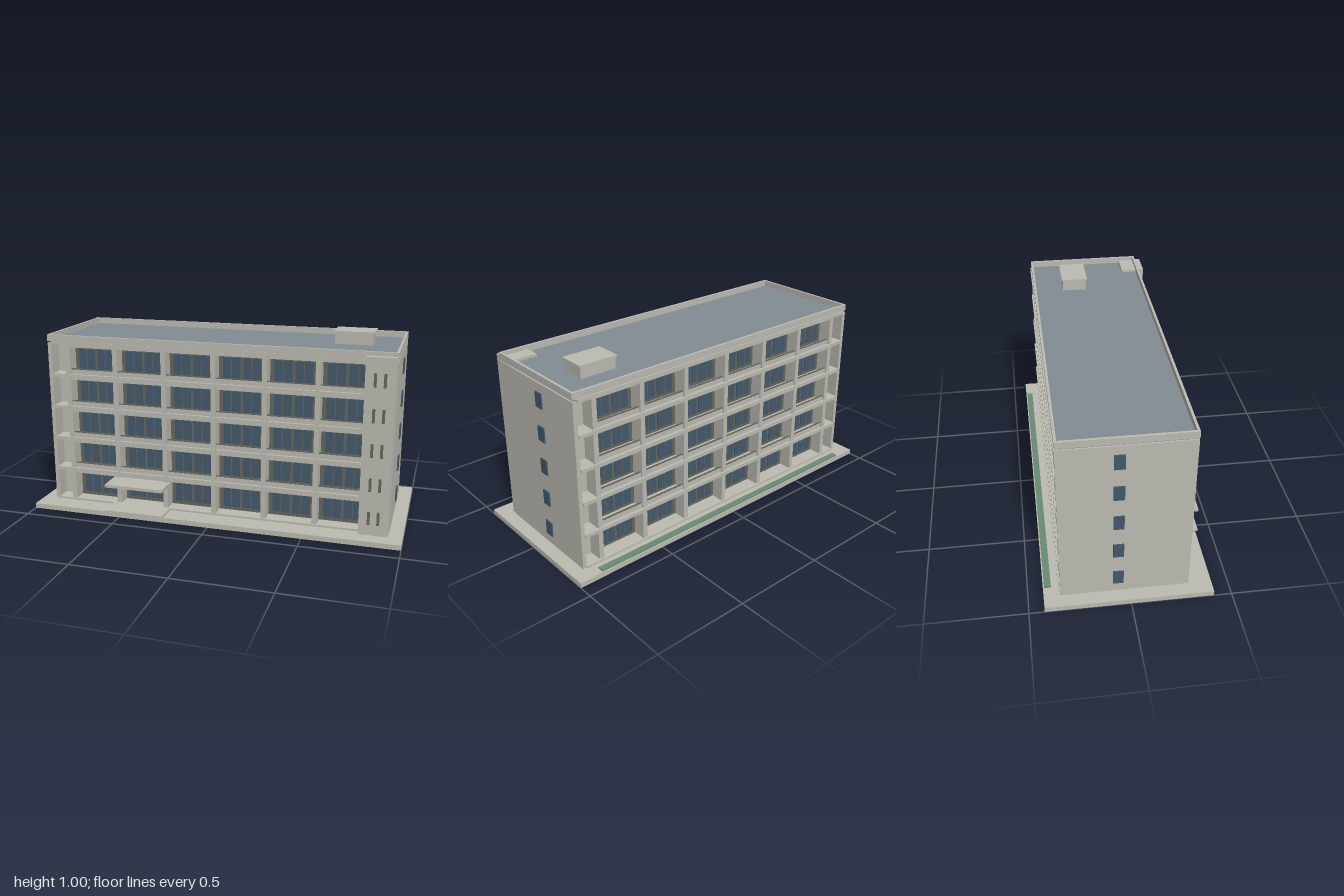
import * as THREE from 'three';

const mat = (name, color) => {
  const m = new THREE.MeshStandardMaterial({ color });
  m.name = name;
  return m;
};

export function createModel() {
  const concrete = mat('concrete', 0xbcbbb1);
  const frame = mat('darkFrame', 0x66665f);
  const glass = mat('glass', 0x43586a);
  const roofing = mat('roofing', 0x828c93);
  const green = mat('hedgeGreen', 0x6a8a76);
  const model = new THREE.Group();
  model.name = 'building';

  // Box given by its extents
  const box = (name, m, x0, x1, y0, y1, z0, z1) => {
    const mesh = new THREE.Mesh(new THREE.BoxGeometry(x1 - x0, y1 - y0, z1 - z0), m);
    mesh.position.set((x0 + x1) / 2, (y0 + y1) / 2, (z0 + z1) / 2);
    mesh.name = name;
    model.add(mesh);
    return mesh;
  };

  const ZC = -0.024;                  // middle of the block in z
  const FLOORS = 5, PITCH = 0.1775, BASE = 0.027;
  const BAYS = 6, BAY = 0.272;
  const floorY = k => BASE + PITCH * k;

  // Site and entrance
  box('plinth', concrete, -1, 1, 0, BASE, -0.424, 0.411);
  box('hedge', green, -0.872, 0.868, BASE, 0.034, -0.418, -0.384);
  box('entranceStep', concrete, -0.572, -0.246, BASE, 0.039, 0.28, 0.424);
  box('entranceCanopy', concrete, -0.572, -0.246, 0.168, 0.184, 0.22, 0.418);

  // Recessed core, end walls and floor slabs
  box('core', concrete, -0.912, 0.912, BASE, 0.92, ZC - 0.24, ZC + 0.24);
  for (const s of [-1, 1]) {
    const a = s * 0.908, b = s * 0.929;
    box('endWall', concrete, Math.min(a, b), Math.max(a, b), BASE, 0.917, -0.342, 0.295);
  }
  for (let k = 0; k <= FLOORS; k++) {
    const y = floorY(k);
    box('floorSlab', concrete, -0.907, 0.907, k ? y - 0.006 : y, y + (k ? 0.0125 : 0.01), ZC - 0.325, ZC + 0.322);
  }

  // Both long facades, mirrored about the middle of the block
  for (const s of [-1, 1]) {
    const facade = (name, m, x0, x1, y0, y1, d0, d1) => {
      const a = ZC + s * d0, b = ZC + s * d1;
      return box(name, m, x0, x1, y0, y1, Math.min(a, b), Math.max(a, b));
    };
    // Deep columns
    for (let i = 0; i <= BAYS; i++) {
      const x = (i - BAYS / 2) * BAY;
      facade('column', concrete, x - 0.013, x + 0.013, BASE, 0.915, 0.23, 0.317);
    }
    for (let k = 0; k < FLOORS; k++) {
      const y = floorY(k);
      for (let i = 0; i < BAYS; i++) {
        const x = (i + 0.5 - BAYS / 2) * BAY, h = BAY / 2 - 0.013;
        // Glazing wall with paired windows
        facade('glazingWall', frame, x - h, x + h, y + 0.008, y + 0.172, 0.238, 0.245);
        for (const o of [-0.054, 0.054]) {
          facade('window', glass, x + o - 0.046, x + o + 0.046, y + 0.03, y + 0.14, 0.244, 0.25);
          facade('mullion', frame, x + o - 0.002, x + o + 0.002, y + 0.03, y + 0.14, 0.249, 0.252);
        }
        // Edge beam, balcony parapet and rail
        facade('edgeBeam', concrete, x - h, x + h, y + 0.158, y + 0.173, 0.295, 0.31);
        if (k > 0) {
          facade('balconyParapet', concrete, x - h, x + h, y + 0.01, y + 0.038, 0.298, 0.308);
          facade('balconyRail', frame, x - h, x + h, y + 0.038, y + 0.043, 0.299, 0.307);
        }
      }
    }
  }

  // Stair tower with slit windows
  box('stairTower', concrete, 0.776, 0.925, BASE, 0.942, 0.2, 0.33);
  for (let k = 0; k < FLOORS; k++) {
    const y = floorY(k);
    for (const x of [0.826, 0.874]) {
      box('slitWindow', frame, x - 0.007, x + 0.007, y + 0.057, y + 0.127, 0.328, 0.334);
    }
    // End wall windows
    for (const x of [-0.931, 0.931]) {
      box('endWindow', glass, x - 0.005, x + 0.005, y + 0.053, y + 0.132, -0.083, -0.031);
    }
  }

  // Roof with a thin parapet
  box('roofDeck', roofing, -0.921, 0.921, 0.914, 0.928, -0.336, 0.289);
  const P = 0.013, X = 0.93, ZB = -0.342, ZF = 0.296;
  box('roofParapet', concrete, -X, X, 0.926, 0.961, ZF - P, ZF);
  box('roofParapet', concrete, -X, X, 0.926, 0.961, ZB, ZB + P);
  box('roofParapet', concrete, -X, -X + P, 0.926, 0.961, ZB + P, ZF - P);
  box('roofParapet', concrete, X - P, X, 0.926, 0.961, ZB + P, ZF - P);

  // Roof access box
  box('roofHatch', concrete, 0.571, 0.77, 0.925, 0.989, -0.174, -0.042);
  box('roofHatchCap', concrete, 0.564, 0.777, 0.988, 0.997, -0.181, -0.035);

  return model;
}
